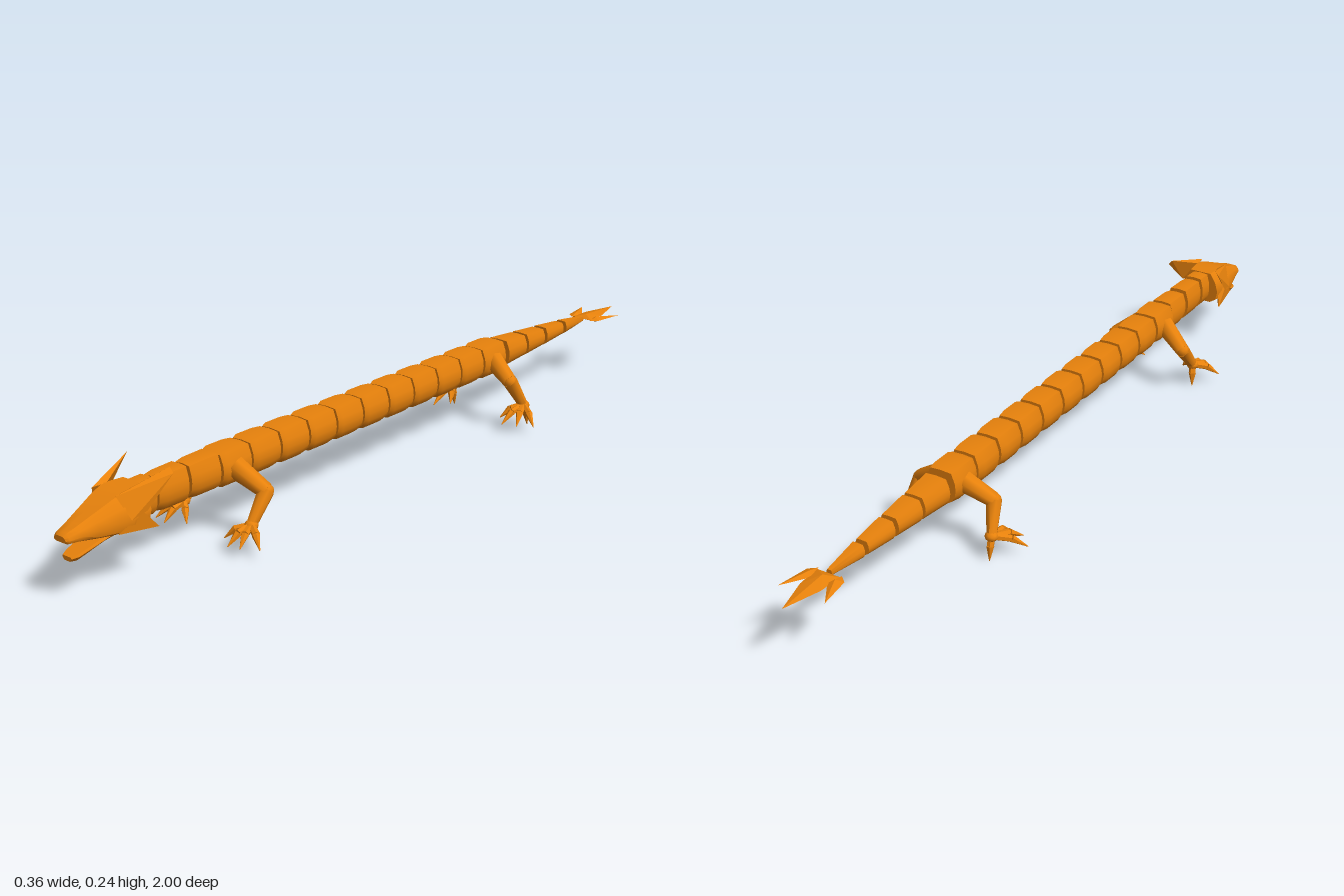
import * as THREE from 'three';
import { toCreasedNormals } from 'three/addons/utils/BufferGeometryUtils.js';
import { ConvexGeometry } from 'three/addons/geometries/ConvexGeometry.js';

const skin = new THREE.MeshStandardMaterial({ color: 0xe8820c, roughness: 0.8 });
const V = (x, y, z) => new THREE.Vector3(x, y, z);

// Half cross-sections from top centre to bottom centre, in units of half width and half height
const BODY = [[0, 1], [0.72, 0.95], [0.95, 0.4], [1, 0], [0.93, -0.4], [0.72, -0.74], [0.4, -0.94], [0, -1]];
const SKULL = [[0, 1], [0.56, 1], [0.85, 0.45], [1, -0.2], [0.9, -0.75], [0.6, -1], [0, -1]];
const JAW = [[0, 1], [0.9, 1], [1, 0.3], [0.6, -1], [0, -1]];

function mesh(name, geometry, parent) {
  const m = new THREE.Mesh(geometry, skin);
  m.name = name;
  parent.add(m);
  return m;
}

// Closed skin through sections [z, halfWidth, top, bottom], listed from back to front
function loft(half, sections) {
  const left = half.slice(1, -1).map(([x, y]) => [-x, y]);
  const ring = [...left, ...half.slice().reverse()].slice();
  const n = ring.length, pos = [], idx = [];
  for (const [z, w, top, bottom] of sections) {
    const mid = (top + bottom) / 2, h = (top - bottom) / 2;
    for (const [x, y] of ring) pos.push(x * w, mid + y * h, z);
  }
  const last = (sections.length - 1) * n;
  for (let s = 0; s < last; s += n) {
    for (let i = 0; i < n; i++) {
      const j = (i + 1) % n;
      idx.push(s + i, s + j, s + n + j, s + i, s + n + j, s + n + i);
    }
  }
  for (const [start, front] of [[0, false], [last, true]]) {
    const [z, , top, bottom] = sections[front ? sections.length - 1 : 0];
    const c = pos.length / 3;
    pos.push(0, (top + bottom) / 2, z);
    for (let i = 0; i < n; i++) {
      const a = start + i, b = start + (i + 1) % n;
      idx.push(c, front ? a : b, front ? b : a);
    }
  }
  const g = new THREE.BufferGeometry();
  g.setAttribute('position', new THREE.Float32BufferAttribute(pos, 3));
  g.setIndex(idx);
  return toCreasedNormals(g, 0.75);
}

// Tapered limb piece from a to b
function limb(name, a, b, ra, rb, parent, sides = 8) {
  const d = b.clone().sub(a);
  const g = new THREE.CylinderGeometry(rb, ra, d.length(), sides);
  const m = mesh(name, toCreasedNormals(g, 0.9), parent);
  m.position.copy(a).add(b).multiplyScalar(0.5);
  m.quaternion.setFromUnitVectors(V(0, 1, 0), d.normalize());
}

function leg(name, side, joints, toes, parent) {
  const g = new THREE.Group();
  g.name = name;
  parent.add(g);
  const [hip, knee, ankle] = joints.map(([x, y, z]) => V(side * x, y, z));
  limb('upperLeg', hip, knee, 0.026, 0.019, g);
  limb('lowerLeg', knee, ankle, 0.019, 0.012, g);
  const joint = mesh('knee', new THREE.IcosahedronGeometry(0.018, 1), g);
  joint.position.copy(knee);
  const foot = mesh('foot', new THREE.IcosahedronGeometry(0.016, 1), g);
  foot.position.copy(ankle);
  foot.scale.y = 0.8;
  for (const [x, y, z] of toes) {
    const tip = V(side * x, y, z);
    const knuckle = ankle.clone().lerp(tip, 0.55);
    knuckle.y += 0.009;
    limb('toe', ankle, knuckle, 0.009, 0.0085, g, 6);
    limb('claw', knuckle, tip, 0.0095, 0.001, g, 6);
  }
}

export function createModel() {
  const model = new THREE.Group();
  model.name = 'dragon';

  // Trunk of overlapping ring segments
  for (let i = 0; i <= 10; i++) {
    const z = -0.404 + i * 0.0935, w = i === 0 || i === 10 ? 0.043 : 0.042;
    mesh('bodySegment', loft(BODY, [
      [z - 0.043, w * 0.9, 0.205, 0.121],
      [z - 0.02, w, 0.207, 0.118],
      [z + 0.03, w, 0.207, 0.118],
      [z + 0.043, w * 0.88, 0.203, 0.123],
    ]), model);
  }

  // Neck
  for (const [z, w] of [[0.618, 0.034], [0.71, 0.031], [0.8, 0.029]]) {
    mesh('neckSegment', loft(BODY, [
      [z - 0.04, w, 0.207, 0.12], [z + 0.02, w * 0.97, 0.206, 0.12], [z + 0.042, w * 0.85, 0.203, 0.124],
    ]), model);
  }

  // Tapering tail
  for (const [z0, z1, r0, r1] of [
    [-0.465, -0.55, 0.037, 0.031], [-0.56, -0.64, 0.031, 0.025],
    [-0.652, -0.737, 0.025, 0.018], [-0.75, -0.848, 0.018, 0.007],
  ]) {
    const y = 0.163;
    mesh('tailSegment', loft(BODY, [
      [z1, r1, y + r1, y - r1], [z0, r0, y + r0, y - r0],
    ]), model);
  }

  // Tail blade with a barb on each side
  const blade = [V(0, 0.163, -1), V(0, 0.171, -0.87), V(0, 0.155, -0.87)];
  for (const s of [-1, 1]) {
    blade.push(V(s * 0.026, 0.163, -0.91), V(s * 0.03, 0.163, -0.85));
    mesh('tailBarb', new ConvexGeometry([
      V(s * 0.06, 0.163, -0.94), V(s * 0.048, 0.163, -0.86), V(s * 0.03, 0.163, -0.845),
      V(s * 0.02, 0.163, -0.88), V(s * 0.032, 0.17, -0.87), V(s * 0.032, 0.156, -0.87),
    ]), model);
  }
  mesh('tailBlade', new ConvexGeometry(blade), model);

  // Head and jaws
  mesh('skull', loft(SKULL, [
    [0.8, 0.053, 0.208, 0.125], [0.85, 0.061, 0.21, 0.122], [0.885, 0.054, 0.2, 0.123],
    [0.93, 0.041, 0.182, 0.128], [0.965, 0.031, 0.168, 0.133], [0.993, 0.024, 0.158, 0.135],
    [1, 0.018, 0.152, 0.139],
  ]), model);
  mesh('lowerJaw', loft(JAW, [
    [0.85, 0.036, 0.143, 0.12], [0.9, 0.031, 0.128, 0.112], [0.945, 0.024, 0.113, 0.098],
    [0.97, 0.021, 0.106, 0.091], [0.985, 0.014, 0.102, 0.092],
  ]), model);

  for (const s of [-1, 1]) {
    // Swept-back ear
    mesh('ear', new ConvexGeometry([
      V(s * 0.065, 0.242, 0.755), V(s * 0.075, 0.23, 0.755), V(s * 0.03, 0.209, 0.845),
      V(s * 0.036, 0.208, 0.88), V(s * 0.06, 0.155, 0.86), V(s * 0.064, 0.165, 0.82),
    ]), model);
    // Cheek spike under the ear
    mesh('cheek', new ConvexGeometry([
      V(s * 0.064, 0.12, 0.79), V(s * 0.062, 0.165, 0.83), V(s * 0.05, 0.13, 0.89),
      V(s * 0.045, 0.125, 0.82), V(s * 0.045, 0.16, 0.82),
    ]), model);

    const label = s > 0 ? 'left' : 'right';
    leg(label + 'FrontLeg', s,
      [[0.03, 0.165, 0.535], [0.1, 0.118, 0.51], [0.105, 0.056, 0.563]],
      [[0.165, 0.027, 0.6], [0.13, 0.028, 0.625], [0.098, 0.026, 0.63], [0.058, 0.025, 0.6], [0.113, 0.002, 0.548]], model);
    leg(label + 'HindLeg', s,
      [[0.03, 0.165, -0.404], [0.098, 0.127, -0.385], [0.115, 0.058, -0.422]],
      [[0.181, 0.027, -0.375], [0.15, 0.03, -0.345], [0.11, 0.028, -0.338], [0.08, 0.03, -0.37], [0.118, 0.002, -0.437]], model);
  }
  return model;
}
